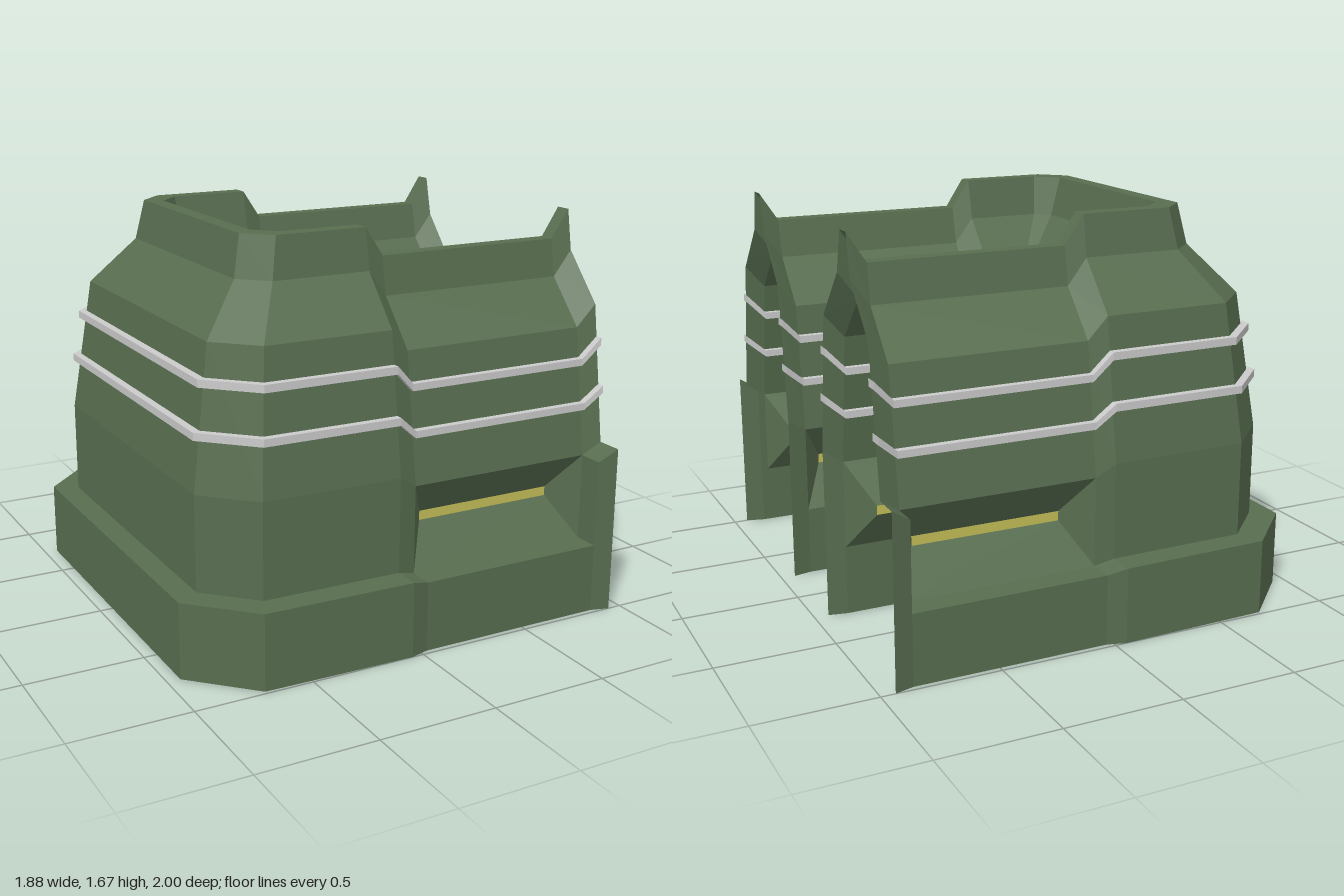
import * as THREE from 'three';

const mat = (color) => new THREE.MeshStandardMaterial({ color, flatShading: true, side: THREE.DoubleSide });
const green = mat(0x586e50), grey = mat(0xcccccc), yellow = mat(0xc4be58);

// Cross-section of the U-shaped wall, from the outer foot over the rim to the inner foot:
// [x distance of the closed end, z distance of the arms, y, corner chamfer, corner inset]
const PROFILE = [
  [0.945, 1.0, 0, 0.245, 0.015],
  [0.945, 1.0, 0.32, 0.245, 0.015],
  [0.845, 0.885, 0.32, 0.195, 0.01],
  [0.845, 0.885, 0.72, 0.195, 0.01],
  [0.76, 0.8, 1.3, 0.16, 0.005],
  [0.585, 0.62, 1.5, 0.11, 0],
  [0.55, 0.59, 1.67, 0.105, 0],
  [0.48, 0.52, 1.67, 0.09, 0],
  [0.43, 0.48, 1.5, 0.06, 0],
  [0.25, 0.3, 1.3, 0.02, 0],
  [0.2, 0.23, 0.72, 0.01, 0],
  [0.2, 0.23, 0.32, 0.01, 0],
  [0.2, 0.23, 0, 0.01, 0],
];
const OUTER_WALL = 2, INNER_WALL = 10; // strips that carry the recesses
const PIER_TOP = [0.945, 1.0, 0.72, 0.245, 0.015];

// Stations along one arm: open end, two ends of the lowered stretch, step, two chamfer corners
const STATIONS = [[0.94, 1], [0.86, 0], [0.03, 0], [-0.05, 1], 'corner', 'end'];
const LAST = STATIONS.length * 2 - 1;

function at([X, z, y, c, inset], k, sign = 1) {
  const s = STATIONS[k];
  if (s === 'corner') return [-X + c, y, sign * (z - inset)];
  if (s === 'end') return [-X, y, sign * (z - inset - c)];
  const [x, full] = s;
  return full ? [x, y, sign * z] : [x, y * 0.928, sign * (0.55 + (z - 0.55) * 0.95)];
}

// Station i of the whole U, running from the +z arm round to the -z arm
const along = (p, i) => (i < STATIONS.length ? at(p, i, 1) : at(p, LAST - i, -1));

// Mesh of separate flat quads
function quadMesh(name, quads, material) {
  const pos = [];
  for (const [a, b, c, d] of quads) pos.push(...a, ...b, ...c, ...a, ...c, ...d);
  const g = new THREE.BufferGeometry();
  g.setAttribute('position', new THREE.Float32BufferAttribute(pos, 3));
  g.computeVertexNormals();
  const m = new THREE.Mesh(g, material);
  m.name = name;
  return m;
}

// Shell swept round the U, leaving gaps for recesses and end piers
function wallShell() {
  const quads = [];
  for (let i = 0; i < LAST; i++) {
    const seg = Math.min(i, LAST - 1 - i);
    for (let j = 0; j < PROFILE.length - 1; j++) {
      if (seg === 1 && (j === OUTER_WALL || j === INNER_WALL)) continue;
      if (seg === 0 && (j === 1 || j === OUTER_WALL)) continue;
      const p = PROFILE[j], q = PROFILE[j + 1];
      quads.push([along(p, i), along(q, i), along(q, i + 1), along(p, i + 1)]);
    }
  }
  return quadMesh('wallShell', quads, green);
}

// Raised piece of the base at the open end of an arm
function endPier(sign) {
  const [, foot, sill, wall] = PROFILE;
  const quads = [
    [at(foot, 0, sign), at(PIER_TOP, 0, sign), at(PIER_TOP, 1, sign), at(foot, 1, sign)],
    [at(PIER_TOP, 0, sign), at(wall, 0, sign), at(wall, 1, sign), at(PIER_TOP, 1, sign)],
    [at(foot, 1, sign), at(PIER_TOP, 1, sign), at(wall, 1, sign), at(sill, 1, sign)],
  ];
  return quadMesh('endPier', sign > 0 ? quads : quads.map((q) => q.reverse()), green);
}

// Funnel-shaped recess with a bright slit at its back; face is +1 outside, -1 in the courtyard
function recess(sign, face) {
  const group = new THREE.Group();
  group.name = face > 0 ? 'outerRecess' : 'innerRecess';
  const j = face > 0 ? OUTER_WALL : INNER_WALL;
  const [lo, hi] = face > 0 ? [PROFILE[j], PROFILE[j + 1]] : [PROFILE[j + 1], PROFILE[j]];
  const rim = [at(lo, 2, sign), at(lo, 1, sign), at(hi, 1, sign), at(hi, 2, sign)];
  const z = rim[0][2] - sign * face * 0.125;
  const back = [[0.13, 0.465, z], [0.765, 0.465, z], [0.765, 0.505, z], [0.13, 0.505, z]];
  const turn = (q) => (sign * face > 0 ? q : q.reverse());
  const sides = rim.map((r, i) => {
    const n = (i + 1) % 4;
    return turn([r, rim[n], back[n], back[i]]);
  });
  group.add(quadMesh('recessSides', sides, green), quadMesh('slit', [turn([...back])], yellow));
  return group;
}

// Square rail running round the wall at height y, straddling strip j of the profile
function rail(name, j, y) {
  const p = PROFILE[j], q = PROFILE[j + 1];
  const t = (y - p[2]) / (q[2] - p[2]);
  const mid = p.map((v, n) => v + (q[n] - v) * t);
  const w = 0.03, h = 0.016;
  const section = [[w, -h], [w, h], [-w, h], [-w, -h]].map(([d, e]) =>
    [mid[0] + d, mid[1] + d, mid[2] + e, Math.max(mid[3] + d * 0.6, 0.005), mid[4]]);
  const quads = [];
  for (let i = 0; i < LAST; i++) {
    section.forEach((a, n) => {
      const b = section[(n + 1) % 4];
      quads.push([along(a, i), along(b, i), along(b, i + 1), along(a, i + 1)]);
    });
  }
  quads.push(section.map((s) => along(s, 0)).reverse(), section.map((s) => along(s, LAST)));
  return quadMesh(name, quads, grey);
}

export function createModel() {
  const model = new THREE.Group();
  model.name = 'fortifiedWall';
  model.add(wallShell());
  for (const sign of [1, -1]) {
    model.add(endPier(sign), recess(sign, 1), recess(sign, -1));
  }
  for (const y of [0.95, 1.15]) {
    model.add(rail('outerRail', 3, y), rail('innerRail', 9, y));
  }
  return model;
}
